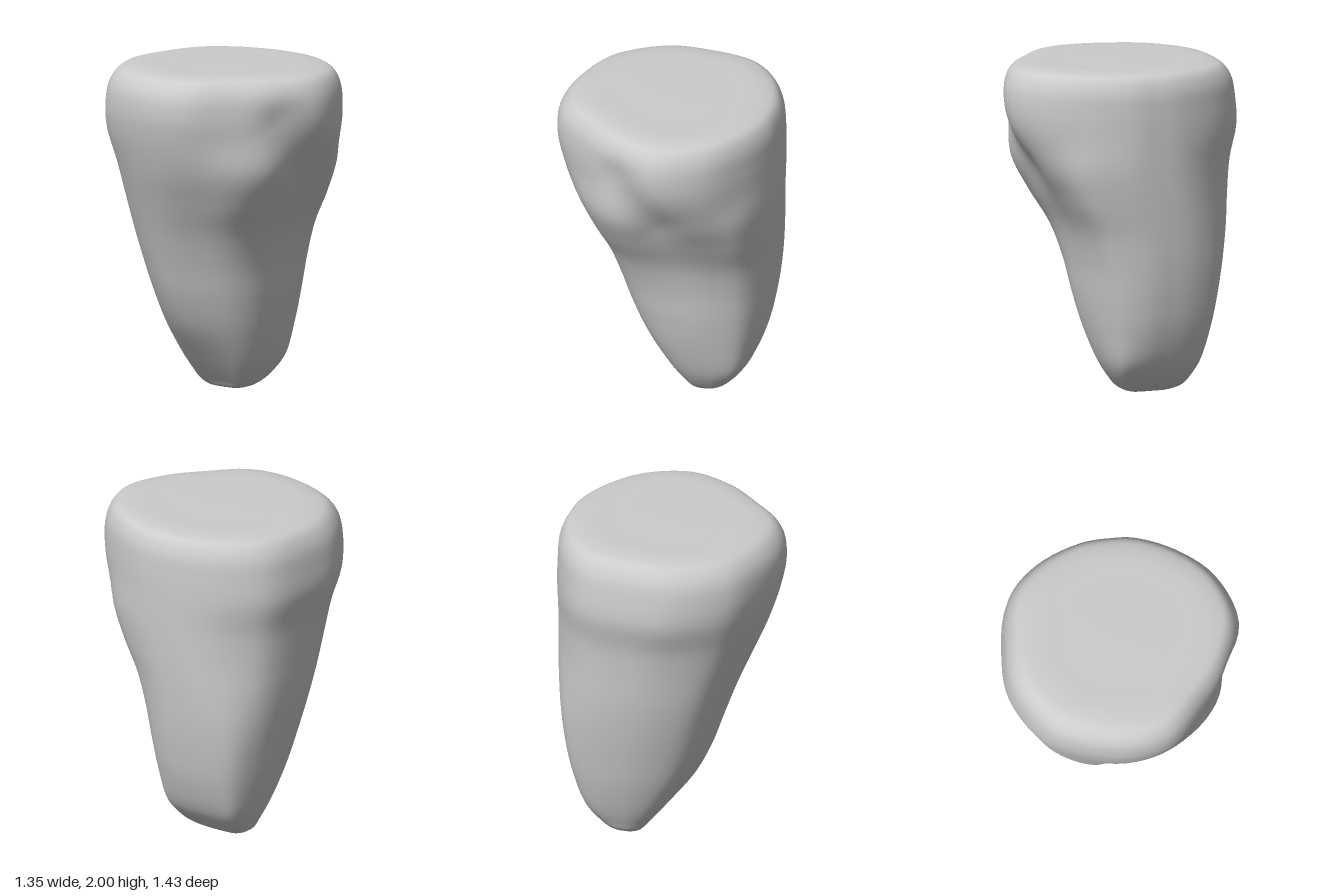
import * as THREE from 'three';
import { mergeVertices } from 'three/addons/utils/BufferGeometryUtils.js';

// Unit outlines running right, front, left, back, each tied to a height
const outlines = [
  { y: .08, points: [[1, 0], [.98, .46], [.85, .83], [.5, .97], [.08, 1], [-.42, .97], [-.76, .78], [-.93, .36],
    [-1, -.08], [-.95, -.46], [-.76, -.8], [-.34, -.97], [.1, -1], [.54, -.97], [.86, -.82], [.98, -.42]] },
  { y: .5, points: [[1, 0], [.96, .4], [.77, .76], [.46, .92], [.06, 1], [-.38, .97], [-.68, .78], [-.9, .36],
    [-1, -.08], [-.91, -.42], [-.69, -.74], [-.3, -.94], [.1, -1], [.5, -.95], [.83, -.77], [.97, -.4]] },
  { y: 1.2, points: [[1, 0], [.96, .38], [.75, .8], [.44, .93], [.05, .97], [-.39, 1], [-.69, .83], [-.92, .4],
    [-1, 0], [-.91, -.43], [-.71, -.75], [-.3, -.96], [.1, -1], [.53, -.91], [.81, -.63], [.97, -.3]] },
  { y: 1.72, points: [[1, 0], [.98, .2], [.83, .54], [.55, .85], [.12, 1], [-.32, .86], [-.62, .63], [-.92, .34],
    [-1, 0], [-.9, -.45], [-.73, -.73], [-.3, -.98], [.1, -1], [.56, -.91], [.82, -.66], [.98, -.28]] },
];

// Height, x range, z range of each cross-section, tip to flat top
const levels = [
  [0, .17, .19, -.16, -.13],
  [.005, .12, .25, -.27, -.02],
  [.04, .09, .315, -.35, .05],
  [.1, .04, .385, -.385, .1],
  [.2, -.04, .465, -.43, .155],
  [.4, -.19, .545, -.495, .22],
  [.6, -.29, .59, -.54, .265],
  [.8, -.36, .62, -.58, .3],
  [1, -.43, .64, -.61, .36],
  [1.2, -.51, .655, -.63, .47],
  [1.4, -.59, .665, -.655, .6],
  [1.6, -.65, .67, -.705, .69],
  [1.75, -.675, .67, -.7, .715],
  [1.88, -.66, .66, -.675, .7],
  [1.96, -.6, .62, -.62, .65],
  [1.985, -.51, .55, -.54, .57],
  [1.99, -.3, .32, -.32, .33],
  [1.995, -.02, .02, -.02, .02],
];

// Outline corner at a height, blended from one outline to the next
function corner(i, axis, y) {
  let value = outlines[0].points[i][axis];
  for (let k = 1; k < outlines.length; k++) {
    const mix = THREE.MathUtils.smoothstep(y, outlines[k - 1].y, outlines[k].y);
    value = THREE.MathUtils.lerp(value, outlines[k].points[i][axis], mix);
  }
  return value;
}

// Broad, slanting fold on the front, under the upper bulge
function fold(p) {
  if (p.z < 0) return;
  const a = new THREE.Vector2(-.17, 1.7), d = new THREE.Vector2(.22, -.3);
  const q = new THREE.Vector2(p.x, p.y).sub(a);
  const t = THREE.MathUtils.clamp(q.dot(d) / d.lengthSq(), 0, 1);
  const dist = q.addScaledVector(d, -t).length();
  p.z -= .045 * Math.exp(-((dist / .14) ** 2));
}

function bodyGeometry(rows = 90, sides = 80) {
  // One vertical spline per outline corner
  const columns = outlines[0].points.map((_, i) => new THREE.CatmullRomCurve3(
    levels.map(([y, x0, x1, z0, z1]) => new THREE.Vector3(
      (x0 + x1) / 2 + (x1 - x0) / 2 * corner(i, 0, y), y,
      (z0 + z1) / 2 + (z1 - z0) / 2 * corner(i, 1, y)))));

  const positions = [], index = [];
  for (let r = 0; r <= rows; r++) {
    const ring = new THREE.CatmullRomCurve3(columns.map(c => c.getPoint(r / rows)), true);
    for (let s = 0; s < sides; s++) {
      const p = ring.getPoint(s / sides);
      fold(p);
      positions.push(p.x, Math.max(p.y, 0), p.z);
    }
  }
  for (let r = 0; r < rows; r++) {
    for (let s = 0; s < sides; s++) {
      const a = r * sides + s, b = r * sides + (s + 1) % sides;
      index.push(a, a + sides, b, b, a + sides, b + sides);
    }
  }
  // Close the tip and the top
  const tip = positions.length / 3, last = rows * sides;
  positions.push(.18, 0, -.145, 0, 1.995, 0);
  for (let s = 0; s < sides; s++) {
    const n = (s + 1) % sides;
    index.push(tip, s, n, tip + 1, last + n, last + s);
  }
  let geometry = new THREE.BufferGeometry();
  geometry.setAttribute('position', new THREE.Float32BufferAttribute(positions, 3));
  geometry.setIndex(index);
  geometry = mergeVertices(geometry, 1e-5);
  geometry.computeVertexNormals();
  return geometry;
}

export function createModel() {
  const group = new THREE.Group();
  group.name = 'taperedStone';
  const body = new THREE.Mesh(bodyGeometry(), new THREE.MeshStandardMaterial({ color: 0xcccccc }));
  body.name = 'stoneBody';
  group.add(body);
  return group;
}
